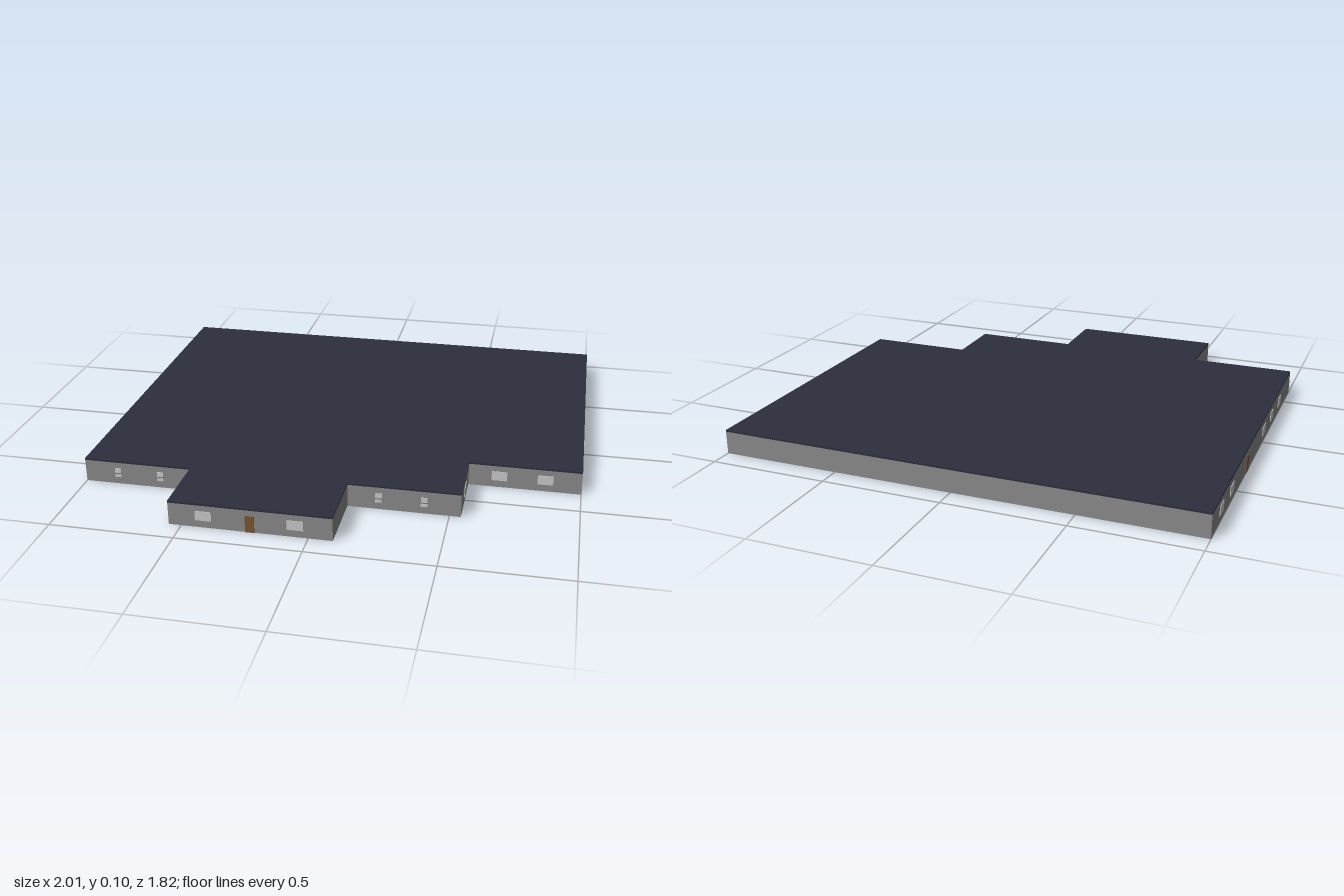
import * as THREE from 'three';

const H = 0.095, T = 0.012, ROOF = 0.008;
const mat = (color) => new THREE.MeshStandardMaterial({ color });

export function createModel() {
  const model = new THREE.Group();
  const wallMat = mat(0x8a8a8a), glassMat = mat(0xcccccc), doorMat = mat(0x7a5632);
  const roofMat = mat(0x2c303d), discMat = mat(0x5a5546), barMat = mat(0x777777);

  const box = (name, w, h, d, x, y, z, m) => {
    const mesh = new THREE.Mesh(new THREE.BoxGeometry(w, h, d), m);
    mesh.name = name;
    mesh.position.set(x, y, z);
    model.add(mesh);
  };
  // walls running along x (at z) or along z (at x)
  const wallX = (name, z, x0, x1) => box(name, x1 - x0, H, T, (x0 + x1) / 2, H / 2, z, wallMat);
  const wallZ = (name, x, z0, z1) => box(name, T, H, z1 - z0, x, H / 2, (z0 + z1) / 2, wallMat);
  // a panel set through a wall, showing on both faces
  const panel = (name, axis, at, pos, w, y, h, m, t = T + 0.005) =>
    axis === 'x' ? box(name, w, h, t, pos, y, at, m) : box(name, t, h, w, at, y, pos, m);
  const door = (axis, at, pos) => panel('door', axis, at, pos, 0.036, 0.035, 0.07, doorMat);
  const windowAt = (axis, at, pos, w) => {
    panel('window', axis, at, pos, w, 0.05, 0.04, glassMat);
    if (w < 0.04) panel('windowBar', axis, at, pos, w, 0.047, 0.004, barMat, T + 0.007);
  };

  // flat roof following the stepped footprint
  const plan = [[-1, -0.91], [1, -0.91], [1, 0.363], [0.545, 0.363], [0.545, 0.635],
    [0.095, 0.635], [0.095, 0.905], [-0.55, 0.905], [-0.55, 0.635], [-1, 0.635]];
  const shape = new THREE.Shape(plan.map(([x, z]) => new THREE.Vector2(x, -z)));
  const roofGeo = new THREE.ExtrudeGeometry(shape, { depth: ROOF, bevelEnabled: false });
  roofGeo.rotateX(-Math.PI / 2);
  const roof = new THREE.Mesh(roofGeo, roofMat);
  roof.name = 'roof';
  roof.position.y = H - 0.001;
  model.add(roof);

  // outer walls, set just inside the roof edge
  const i = T / 2;
  wallX('backWall', -0.91 + i, -1, 1);
  wallZ('leftWall', 1 - i, -0.91, 0.363);
  wallZ('rightWall', -1 + i, -0.91, 0.635);
  wallX('frontWall', 0.363 - i, 0.545 - T, 1);
  wallX('frontWall', 0.635 - i, -1, 0.545);
  wallX('entranceWall', 0.905 - i, -0.55, 0.095);
  wallZ('entranceSide', 0.095 - i, 0.635 - T, 0.905);
  wallZ('entranceSide', -0.55 + i, 0.635 - T, 0.905);

  // inner partitions
  wallZ('partition', 0.545 - i, -0.91, 0.635);
  wallX('partition', -0.47, -1, 0.545);
  wallZ('partition', -0.21, -0.91, -0.47);
  wallX('partition', -0.28, 0.545, 1);
  wallX('partition', -0.14, -1, -0.55);
  wallZ('partition', -0.55 - i, -0.14, 0.635);

  // two free-standing rooms, and a round base in the hall behind each
  for (const x of [0.24, -0.345]) {
    for (const s of [-1, 1]) {
      wallX('innerRoomWall', 0.32 + s * 0.165, x - 0.18, x + 0.18);
      wallZ('innerRoomWall', x + s * 0.175, 0.155, 0.485);
    }
    const disc = new THREE.Mesh(new THREE.CylinderGeometry(0.16, 0.16, 0.03, 32), discMat);
    disc.name = 'roundBase';
    disc.position.set(x > 0 ? 0.23 : -0.32, 0.015, -0.15);
    model.add(disc);
  }

  // doors
  door('x', 0.905 - i, -0.227);
  door('x', 0.635 - i, -0.06);
  door('x', -0.47, -0.14);
  door('x', -0.47, -0.3);
  door('z', 0.545 - i, -0.32);
  door('z', 0.545 - i, 0.13);
  door('z', -0.55 - i, 0.58);
  door('z', -1 + i, -0.31);
  door('z', 0.065, 0.33);
  door('z', -0.17, 0.33);

  // windows
  for (const x of [-0.86, -0.68, 0.22, 0.4]) windowAt('x', 0.635 - i, x, 0.026);
  for (const x of [-0.41, -0.05]) windowAt('x', 0.905 - i, x, 0.065);
  for (const x of [0.67, 0.855]) windowAt('x', 0.363 - i, x, 0.063);
  for (const z of [0.23, 0.05, -0.405, -0.585, -0.765]) windowAt('z', 1 - i, z, 0.06);
  windowAt('z', 0.545 - i, 0.497, 0.063);
  for (const z of [-0.76, -0.59, 0.02, 0.19, 0.37]) windowAt('z', -1 + i, z, 0.06);

  return model;
}
